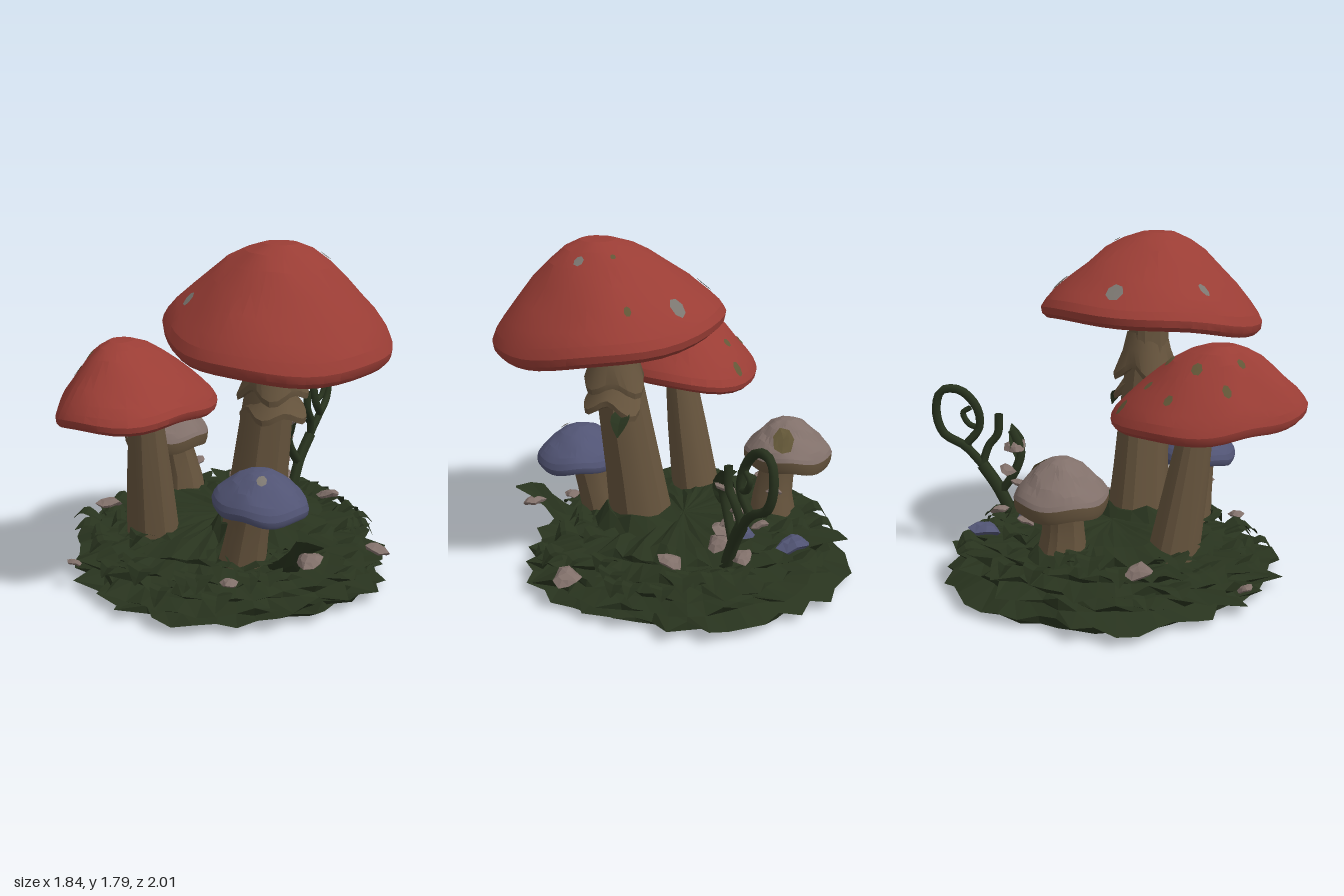
import * as THREE from 'three';
import { mergeGeometries, toCreasedNormals } from 'three/addons/utils/BufferGeometryUtils.js';

const V = (x, y, z) => new THREE.Vector3(x, y, z);
const TAU = Math.PI * 2;

export function createModel() {
  const model = new THREE.Group();
  const mat = (name, color, side = THREE.FrontSide) => {
    const m = new THREE.MeshStandardMaterial({ color, side });
    m.name = name;
    return m;
  };
  const red = mat('red cap', 0x9a3d35);
  const blue = mat('blue cap', 0x515474);
  const pale = mat('pale cap', 0x81706a);
  const brown = mat('stem brown', 0x66543d);
  const green = mat('moss green', 0x28331e, THREE.DoubleSide);
  const grey = mat('grey spot', 0x7b7670, THREE.DoubleSide);
  const olive = mat('olive spot', 0x625637, THREE.DoubleSide);

  let seed = 7;
  const rnd = (a = 0, b = 1) => {
    seed = (seed * 16807) % 2147483647;
    return a + (b - a) * seed / 2147483647;
  };
  const add = (name, geo, material) => {
    const m = new THREE.Mesh(geo, material);
    m.name = name;
    model.add(m);
    return m;
  };

  // Skin closed rings listed from the top outside down (and back in underneath)
  function loft(rings, crease = 0.3) {
    const pos = [];
    const n = rings[0].length;
    for (let i = 0; i < rings.length - 1; i++) {
      for (let j = 0; j < n; j++) {
        const k = (j + 1) % n;
        const a = rings[i][j], b = rings[i][k], c = rings[i + 1][j], d = rings[i + 1][k];
        for (const p of [a, b, c, b, d, c]) pos.push(p.x, p.y, p.z);
      }
    }
    const g = new THREE.BufferGeometry();
    g.setAttribute('position', new THREE.Float32BufferAttribute(pos, 3));
    g.computeVertexNormals();
    return crease ? toCreasedNormals(g, crease) : g;
  }
  const ring = (n, f) => Array.from({ length: n }, (_, j) => f(j / n * TAU, j));

  // Periodic smooth interpolation of eight values, from +x towards +z
  function around(list, angle) {
    const f = ((angle / TAU % 1) + 1) % 1 * 8;
    const i = Math.floor(f), t = f - i;
    const [a, b, c, d] = [-1, 0, 1, 2].map(o => list[(i + o + 8) % 8]);
    return b + 0.5 * t * (c - a + t * (2 * a - 5 * b + 4 * c - d + t * (3 * (b - c) + d - a)));
  }
  const profile = [[0, 1], [0.15, 0.985], [0.3, 0.9], [0.45, 0.76], [0.6, 0.57],
    [0.75, 0.37], [0.88, 0.2], [0.96, 0.08], [1, 0]];

  // Mushroom cap: apex, eight rim radii and rim heights; a negative rise bulges the gills downwards
  function cap(name, apex, radii, heights, { skin, lipSkin = skin, lip, dome = 1, rise, spots = [] }) {
    const n = 40;
    const at = (angle, t, y) => {
      const r = around(radii, angle) * t;
      return V(apex.x + Math.cos(angle) * r, y, apex.z + Math.sin(angle) * r);
    };
    const rimY = a => around(heights, a) + 0.008 * Math.sin(a * 5 + 1);
    const lump = (a, h) => 0.28 * lip * h * (1 - h) * (Math.sin(a * 7 + h * 9) + Math.sin(a * 4 - h * 13));
    const topY = (a, h) => rimY(a) + (apex.y - rimY(a)) * Math.pow(h, dome) + lump(a, h);
    const under = (t, dy, ridge = 0) => ring(n, (a, j) => at(a, t, rimY(a) + dy + (j % 2 ? ridge : -ridge)));
    add(name + 'Cap', loft(profile.map(([t, h]) => ring(n, a => at(a, t, topY(a, h)))), 0.2), skin);
    add(name + 'Lip', loft([under(1, 0), under(0.99, -lip * 0.6), under(0.95, -lip), under(0.9, -lip * 0.85)], 0.6), lipSkin);
    add(name + 'Gills', loft([under(0.9, -lip * 0.85), under(0.84, -lip * 0.4, lip * 0.12), under(0.6, rise * 0.5, lip * 0.15),
      under(0.3, rise * 0.9, lip * 0.1), under(0.05, rise)], 0), brown);

    // Spots follow the top of the cap
    const surface = (x, z) => {
      const dx = x - apex.x, dz = z - apex.z, a = Math.atan2(dz, dx);
      const t = Math.min(1, Math.hypot(dx, dz) / around(radii, a));
      let i = 0;
      while (i < profile.length - 2 && profile[i + 1][0] < t) i++;
      const [p, q] = [profile[i], profile[i + 1]];
      const h = p[1] + (q[1] - p[1]) * (t - p[0]) / (q[0] - p[0]);
      return V(x, topY(a, Math.max(0, h)) + 0.009, z);
    };
    for (const [x, z, r, material] of spots) {
      const edge = s => ring(7, a => surface(x + Math.cos(a) * r * s, z + Math.sin(a) * r * s * 1.15));
      add(name + 'Spot', loft([edge(0), edge(0.55), edge(1)]), material);
    }
  }

  // Stem: [x, y, z, radius] stations from top to bottom
  const stem = (name, stations, n = 16) => add(name + 'Stem', loft(stations.map(([x, y, z, r]) =>
    ring(n, (a, j) => {
      const s = r * (1 + 0.03 * Math.sin(j * 2.4));
      return V(x + Math.cos(a) * s, y, z + Math.sin(a) * s);
    })), 0.45), brown);

  cap('large', V(0.4, 1.79, 0.17), [0.53, 0.55, 0.56, 0.55, 0.63, 0.65, 0.62, 0.55],
    [1.28, 1.28, 1.31, 1.36, 1.42, 1.42, 1.38, 1.32], {
      skin: red, lip: 0.06, rise: -0.04, dome: 0.9, spots: [[-0.13, 0.04, 0.04, grey], [0.18, -0.32, 0.038, grey],
        [0.55, 0.01, 0.025, grey], [0.07, 0.46, 0.026, grey], [0.43, -0.31, 0.018, olive], [0.4, -0.06, 0.014, olive]] });
  stem('large', [[0.33, 1.36, 0.13, 0.103], [0.325, 1.2, 0.13, 0.107], [0.29, 0.9, 0.12, 0.13],
    [0.24, 0.55, 0.11, 0.148], [0.2, 0.24, 0.1, 0.17]]);

  cap('medium', V(-0.25, 1.315, 0.6), [0.42, 0.46, 0.4, 0.31, 0.36, 0.46, 0.55, 0.48],
    [1.01, 1.01, 1.0, 0.97, 0.95, 0.94, 0.95, 0.99], {
      skin: red, lip: 0.045, rise: -0.085, dome: 0.9, spots: [[-0.38, 0.13, 0.025, olive], [-0.38, 0.26, 0.02, olive],
        [-0.3, 0.35, 0.023, olive], [-0.52, 0.38, 0.02, olive], [-0.43, 0.5, 0.024, olive],
        [-0.48, 0.65, 0.02, olive], [-0.35, 0.7, 0.018, olive]] });
  stem('medium', [[-0.195, 0.94, 0.48, 0.08], [-0.22, 0.6, 0.43, 0.11], [-0.25, 0.22, 0.37, 0.135]]);

  cap('blue', V(0.44, 0.73, 0.39), [0.24, 0.23, 0.21, 0.23, 0.25, 0.23, 0.22, 0.23],
    [0.55, 0.55, 0.56, 0.57, 0.57, 0.56, 0.56, 0.55], {
      skin: blue, lip: 0.035, rise: 0.0, dome: 0.7, spots: [[0.5, 0.47, 0.025, grey]] });
  stem('blue', [[0.4, 0.58, 0.39, 0.105], [0.39, 0.52, 0.39, 0.1], [0.35, 0.35, 0.38, 0.108], [0.32, 0.22, 0.37, 0.12]]);

  cap('pale', V(-0.55, 0.79, -0.13), [0.23, 0.23, 0.23, 0.24, 0.25, 0.24, 0.23, 0.23],
    [0.62, 0.61, 0.61, 0.6, 0.6, 0.6, 0.61, 0.62], {
      skin: pale, lipSkin: brown, lip: 0.065, rise: -0.02, dome: 0.85, spots: [[-0.46, -0.25, 0.055, olive]] });
  stem('pale', [[-0.5, 0.61, -0.14, 0.1], [-0.49, 0.52, -0.14, 0.092], [-0.46, 0.38, -0.15, 0.105], [-0.46, 0.23, -0.16, 0.13]]);

  // Ruffled skirts on the large stem: a bell above, a thinner frill below
  for (const [x, y, r, h] of [[0.335, 1.06, 0.165, 0.2], [0.335, 0.95, 0.16, 0.1]]) {
    const skirt = (s, dy, ruffle) => ring(28, a => {
      const w = Math.sin(a * 4 + y * 9) + 0.5 * Math.sin(a * 3);
      const q = r * s * (1 + 0.1 * ruffle * w);
      return V(x + Math.cos(a) * q, y + dy - 0.03 * ruffle * w, 0.12 + Math.sin(a) * q);
    });
    add('stemSkirt', loft([skirt(0.64, h, 0), skirt(0.78, h * 0.5, 0.3), skirt(1, 0, 1),
      skirt(0.97, -0.03, 1), skirt(0.65, -0.02, 0.2)], 0.5), brown);
  }

  // Mossy mound: one skin stepping down through ragged ledges, higher at the right and the back
  const outline = [0.89, 0.85, 0.9, 0.87, 0.92, 0.89, 0.88, 0.82];
  const n = 54;
  const moss = (s, y, rough) => ring(n, a => {
    const q = around(outline, a) * s * (1 + rough * rnd(-0.13, 0.05));
    const x = Math.cos(a) * q, z = Math.sin(a) * q;
    const slope = y > 0.06 ? -0.04 * x - 0.03 * z : 0;
    return V(x, Math.max(0, y + slope + rough * rnd(-0.022, 0.022)), z);
  });
  const mound = [moss(0, 0.29, 0), moss(0.25, 0.285, 0.6), moss(0.48, 0.28, 0.7)];
  for (const [s, y] of [[0.66, 0.25], [0.8, 0.21], [0.89, 0.16], [0.95, 0.11], [1, 0.055]]) {
    mound.push(moss(s, y, 1), moss(s * 0.9, y - 0.035, 0.3));
  }
  mound.push(moss(0.82, 0, 0), moss(0, 0, 0));
  add('mossMound', loft(mound, 0), green);

  // Moss collars round the stem feet
  for (const [x, z, r, h] of [[0.21, 0.1, 0.19, 0.37], [-0.25, 0.36, 0.15, 0.29], [0.32, 0.37, 0.14, 0.28], [-0.46, -0.15, 0.14, 0.33]]) {
    const collar = (s, y, k) => ring(14, (a, j) => V(x + Math.cos(a) * r * s, y + k * Math.sin(j * 2.3), z + Math.sin(a) * r * s));
    add('mossCollar', loft([collar(0.85, h - 0.04, 0), collar(0.95, h - 0.03, 0.025), collar(1.3, 0.25, 0.01)], 0), green);
  }

  // Leaf blade bent along a path; tilt turns its face sideways
  function leaf(points, width, tilt = 0) {
    const curve = new THREE.CatmullRomCurve3(points);
    const g = new THREE.PlaneGeometry(1, 1, 2, 5);
    const p = g.attributes.position;
    for (let i = 0; i < p.count; i++) {
      const u = p.getY(i) + 0.5, c = curve.getPoint(u), d = curve.getTangent(u);
      const side = V(-d.z, tilt, d.x).normalize();
      const s = p.getX(i) * 2 * width * Math.sin(Math.PI * (0.12 + 0.86 * u));
      c.addScaledVector(side, s);
      p.setXYZ(i, c.x, c.y + Math.abs(s) * 0.25, c.z);
    }
    const flat = g.toNonIndexed();
    flat.computeVertexNormals();
    return flat;
  }
  const blades = [];
  for (let i = 0; i < 46; i++) {
    const a = i * 2.4, k = rnd(0.55, 0.9), r = k * around(outline, a), len = rnd(0.07, 0.13);
    const y = 0.36 - 0.24 * k * k - 0.04 * Math.cos(a) * r - 0.03 * Math.sin(a) * r;
    const out = (d, h) => V(Math.cos(a) * (r + d), y + h, Math.sin(a) * (r + d));
    blades.push(leaf([out(-0.04, -0.02), out(len * 0.5, rnd(0, 0.02)), out(len, rnd(-0.06, -0.02))], rnd(0.05, 0.09)));
  }
  add('groundLeaves', mergeGeometries(blades), green);
  add('curledLeaf', leaf([V(0.46, 0.2, 0.34), V(0.6, 0.25, 0.36), V(0.68, 0.36, 0.38), V(0.81, 0.42, 0.41)], 0.07, 1.2), green);
  add('stemLeaf', leaf([V(0.33, 0.93, 0), V(0.38, 0.89, -0.05), V(0.41, 0.82, -0.09)], 0.05), green);

  // Curling vine at the back, given as [z, y, x]
  const vine = (pts, r) => add('vine', new THREE.TubeGeometry(
    new THREE.CatmullRomCurve3(pts.map(([z, y, x]) => V(x, y, z))), 36, r, 6), green);
  vine([[-0.52, 0.22, 0.02], [-0.6, 0.33, 0.02], [-0.66, 0.45, 0.03], [-0.74, 0.55, 0.03], [-0.83, 0.64, 0.03], [-0.94, 0.71, 0.01],
    [-0.975, 0.84, 0], [-0.94, 0.95, 0], [-0.84, 0.955, 0.01], [-0.755, 0.86, 0.03], [-0.75, 0.74, 0.05], [-0.82, 0.65, 0.04]], 0.024);
  vine([[-0.56, 0.26, 0.02], [-0.64, 0.42, 0.02], [-0.73, 0.54, 0.03]], 0.034);
  vine([[-0.755, 0.74, 0.05], [-0.81, 0.76, 0.05], [-0.84, 0.82, 0.05], [-0.8, 0.85, 0.05]], 0.016);
  vine([[-0.73, 0.54, 0.03], [-0.7, 0.64, 0.05], [-0.65, 0.71, 0.06], [-0.64, 0.82, 0.06]], 0.023);
  vine([[-0.62, 0.4, 0.02], [-0.54, 0.52, 0.01], [-0.51, 0.63, 0.02], [-0.56, 0.74, 0.04]], 0.026);
  add('vineLeaf', leaf([V(0.02, 0.56, -0.51), V(0.03, 0.66, -0.53), V(0.06, 0.77, -0.57)], 0.055), green);

  // Small frilly bracket caps in the moss: x, y, z, radius, colour
  const buds = [[0.02, 0.66, -0.54, 0.06, pale], [-0.02, 0.46, -0.5, 0.055, pale], [-0.02, 0.37, -0.42, 0.06, pale],
    [0.02, 0.33, -0.47, 0.065, pale], [-0.03, 0.54, -0.57, 0.045, pale], [-0.03, 0.31, -0.62, 0.055, pale],
    [0.3, 0.3, -0.5, 0.065, pale], [-0.25, 0.34, -0.4, 0.05, pale], [-0.65, 0.28, 0.27, 0.07, pale], [0.75, 0.18, -0.23, 0.07, pale],
    [0.72, 0.33, 0.39, 0.065, pale], [0.42, 0.22, 0.62, 0.045, pale], [-0.45, 0.15, 0.76, 0.04, pale],
    [-0.42, 0.43, -0.24, 0.045, pale], [-0.33, 0.31, -0.6, 0.085, blue], [-0.14, 0.34, -0.43, 0.06, blue]];
  buds.forEach(([x, y, z, r, material], i) => {
    const edge = (s, h, k) => ring(9, (a, j) => {
      const q = r * s * (1 + 0.14 * k * Math.sin(j * 2.2 + i));
      return V(Math.cos(a) * q, r * (h + 0.14 * k * Math.sin(j * 1.9 + i)), Math.sin(a) * q);
    });
    const bud = add('bud', loft([edge(0, 0.4, 0), edge(0.6, 0.27, 0.4), edge(1, -0.05, 1), edge(0.8, -0.25, 0.8), edge(0, -0.3, 0)], 0), material);
    bud.rotation.set(0.4 * Math.sin(i * 2), 0, 0.4 * Math.cos(i * 3));
    bud.position.set(x, y, z);
  });
  return model;
}
